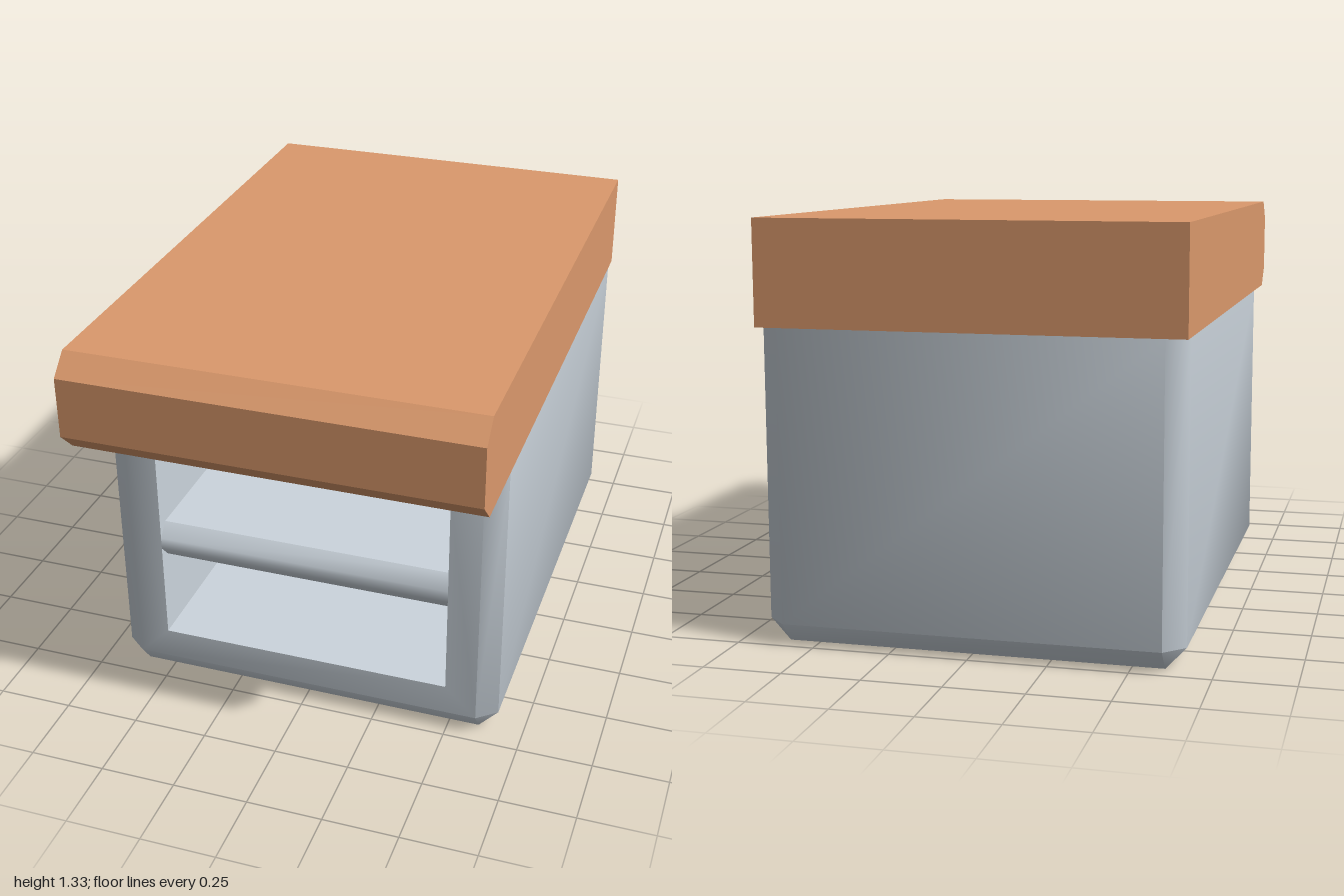
import * as THREE from 'three';
import { toCreasedNormals } from 'three/addons/utils/BufferGeometryUtils.js';

const CREASE = THREE.MathUtils.degToRad(46);

// Builds a creased geometry from quads of Vector3 corners, dropping collapsed triangles
function fromQuads(quads) {
  const pos = [];
  const tri = (a, b, c) => {
    if (a.equals(b) || b.equals(c) || c.equals(a)) return;
    for (const p of [a, b, c]) pos.push(p.x, p.y, p.z);
  };
  for (const [a, b, c, d] of quads) {
    tri(a, b, c);
    tri(a, c, d);
  }
  const geo = new THREE.BufferGeometry();
  geo.setAttribute('position', new THREE.Float32BufferAttribute(pos, 3));
  geo.computeVertexNormals();
  return toCreasedNormals(geo, CREASE);
}

// Extrudes a (z, y) profile across the width, centred on x = 0
function acrossWidth(profile, width) {
  const shape = new THREE.Shape(profile.map(([z, y]) => new THREE.Vector2(z, y)));
  const geo = new THREE.ExtrudeGeometry(shape, { depth: width, bevelEnabled: false });
  geo.translate(0, 0, -width / 2).rotateY(-Math.PI / 2);
  return toCreasedNormals(geo, CREASE);
}

const rect = (x, y0, y1, z) =>
  [[-x, y0], [x, y0], [x, y1], [-x, y1]].map(([px, py]) => new THREE.Vector3(px, py, z));

export function createModel() {
  const group = new THREE.Group();
  const metal = new THREE.MeshStandardMaterial({ color: 0xccd5dd });
  metal.name = 'pale grey metal';
  const wood = new THREE.MeshStandardMaterial({ color: 0xdb996c });
  wood.name = 'warm wood';

  const add = (name, geo, material) => {
    const mesh = new THREE.Mesh(geo, material);
    mesh.name = name;
    group.add(mesh);
  };

  // Cabinet shell: chamfered plan outline, drawn in at the base
  const W = 0.665, IN = 0.6, FRONT = 0.72, FRONT_IN = 0.667, BACK = -1, BACK_IN = -0.934;
  const LOW = 0.07, TOP = 1;
  const half = [[IN, FRONT], [W, FRONT_IN], [W, BACK_IN], [IN, BACK]];
  const plan = [...half, ...half.map(([x, z]) => [-x, z]).reverse()];
  const ring = (y) => plan.map(([x, z]) => new THREE.Vector3(x, y, z));
  const top = ring(TOP), low = ring(LOW);
  const base = plan.map(([x, z]) => new THREE.Vector3(
    Math.sign(x) * IN, 0, THREE.MathUtils.clamp(z, BACK_IN, FRONT_IN)));

  const shell = [];
  for (let i = 0; i < 8; i++) {
    const j = (i + 1) % 8;
    if (i < 7) shell.push([low[i], low[j], top[j], top[i]]);
    shell.push([base[i], base[j], low[j], low[i]]);
  }
  shell.push([base[0], base[7], base[4], base[3]]); // underside

  // Front frame around the opening, and the recess behind it
  const outer = rect(IN, LOW, TOP, FRONT);
  const inner = rect(0.495, 0.175, 0.895, FRONT);
  const rear = rect(0.495, 0.175, 0.895, -0.93);
  const recess = [rear];
  for (let i = 0; i < 4; i++) {
    const j = (i + 1) % 4;
    shell.push([outer[i], outer[j], inner[j], inner[i]]);
    recess.push([inner[i], inner[j], rear[j], rear[i]]);
  }
  add('cabinetBody', fromQuads(shell), metal);
  add('cabinetRecess', fromQuads(recess), metal);

  // Shelf with a rounded front edge
  add('shelf', acrossWidth([
    [-0.93, 0.47], [0.68, 0.47], [0.72, 0.515], [0.72, 0.555], [0.68, 0.6], [-0.93, 0.6],
  ], 0.99), metal);

  // Countertop overhanging at the front, with a chamfered nose
  add('countertop', acrossWidth([
    [-1, 1], [0.933, 1], [1, 1.067], [1, 1.267], [0.933, 1.333], [-1, 1.333],
  ], 1.333).toNonIndexedFlat?.() ?? flat(acrossWidth([
    [-1, 1], [0.933, 1], [1, 1.067], [1, 1.267], [0.933, 1.333], [-1, 1.333],
  ], 1.333)), wood);

  return group;
}

// Gives every face its own flat normal
function flat(geo) {
  const g = geo.index ? geo.toNonIndexed() : geo;
  g.computeVertexNormals();
  return g;
}
